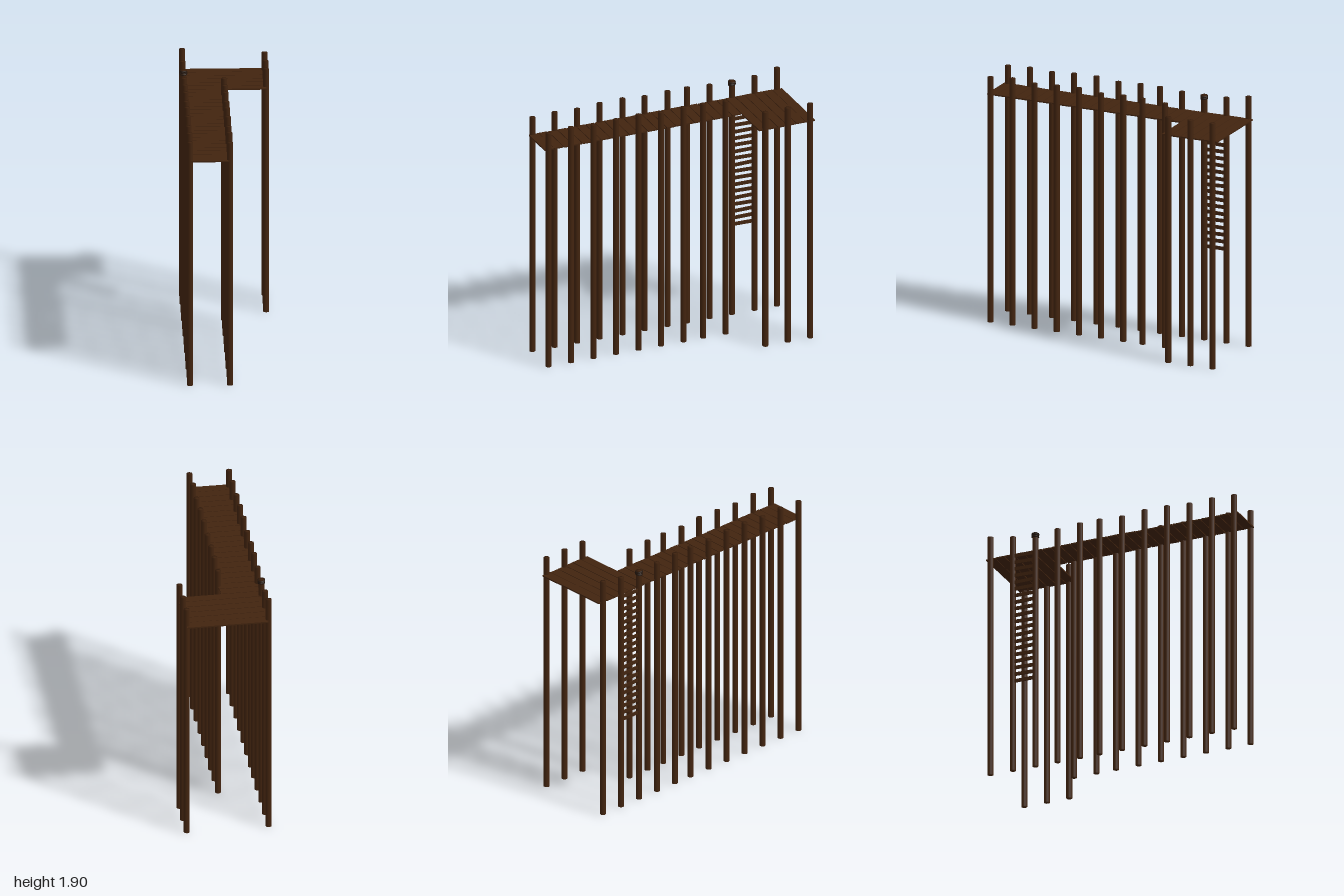
import * as THREE from 'three';
import { mergeVertices } from 'three/addons/utils/BufferGeometryUtils.js';

const wood = new THREE.MeshStandardMaterial({ color: 0x42240f });
wood.name = 'brown wood';
const rope = new THREE.MeshStandardMaterial({ color: 0x24160c });
rope.name = 'dark rope';

// Small seeded jitter in -1..1
let seed = 7;
const jitter = () => {
  seed = (seed * 16807) % 2147483647;
  return (seed / 2147483647) * 2 - 1;
};

// Post with normals smoothed over its end caps
function postGeometry(radius, height) {
  let g = new THREE.CylinderGeometry(radius, radius, height, 12);
  g.deleteAttribute('normal');
  g.deleteAttribute('uv');
  g = mergeVertices(g);
  g.computeVertexNormals();
  return g.translate(0, height / 2, 0);
}

export function createModel() {
  const model = new THREE.Group();
  model.name = 'pier';
  const add = (name, geometry, material, x, y, z) => {
    const mesh = new THREE.Mesh(geometry, material);
    mesh.name = name;
    mesh.position.set(x, y, z);
    model.add(mesh);
    return mesh;
  };

  // Posts, from the front end to the back
  const postZ = [0.972, 0.795, 0.617, 0.439, 0.26, 0.083, -0.096, -0.252, -0.43, -0.607, -0.785, -0.963];
  const outerTop = [1.864, 1.872, 1.864, 1.877, 1.88, 1.864, 1.872, 1.872, 1.86, 1.86, 1.864, 1.896];
  const innerTop = [1.86, 1.875, 1.86, 1.87, 1.875, 1.86, 1.868, 1.865, 1.855];
  postZ.forEach((z, i) => {
    add('outerPost', postGeometry(0.022, outerTop[i]), wood, -0.297, 0, z);
    if (i < 9) add('walkwayPost', postGeometry(0.022, innerTop[i]), wood, -0.007, 0, z);
    else add('platformPost', postGeometry(0.022, 1.864), wood, 0.302, 0, z);
  });

  // Deck: six long platform planks, then the narrow walkway
  const count = 27, pitch = 2 / count;
  for (let i = 0; i < count; i++) {
    const long = i < 6;
    const length = (long ? 0.6 : 0.284) + jitter() * 0.004;
    const end = i === 0 || i === count - 1;
    const plank = add(long ? 'platformPlank' : 'walkwayPlank',
      new THREE.BoxGeometry(length, 0.01, pitch - 0.005), wood,
      (long ? 0.004 : -0.152) + jitter() * 0.003, 1.725, -1 + pitch * (i + 0.5));
    if (end) plank.scale.z = pitch / (pitch - 0.005);
    else plank.rotation.y = jitter() * (long ? 0.005 : 0.012);
  }

  // Ladder rungs between two outer posts
  for (let i = 0; i < 20; i++) {
    const rung = add('ladderRung', new THREE.BoxGeometry(0.009, 0.026, 0.165), wood,
      -0.304, 0.71 + i * 0.0525, -0.696);
    rung.rotation.x = jitter() * 0.03;
  }

  // Rope wound around the post above the ladder
  for (let i = 0; i < 3; i++) {
    const coil = add('ropeCoil', new THREE.TorusGeometry(0.023, 0.006, 8, 20), rope,
      -0.297, 1.832 + i * 0.01, -0.607);
    coil.rotation.set(Math.PI / 2 + jitter() * 0.12, jitter() * 0.12, 0);
  }
  return model;
}
